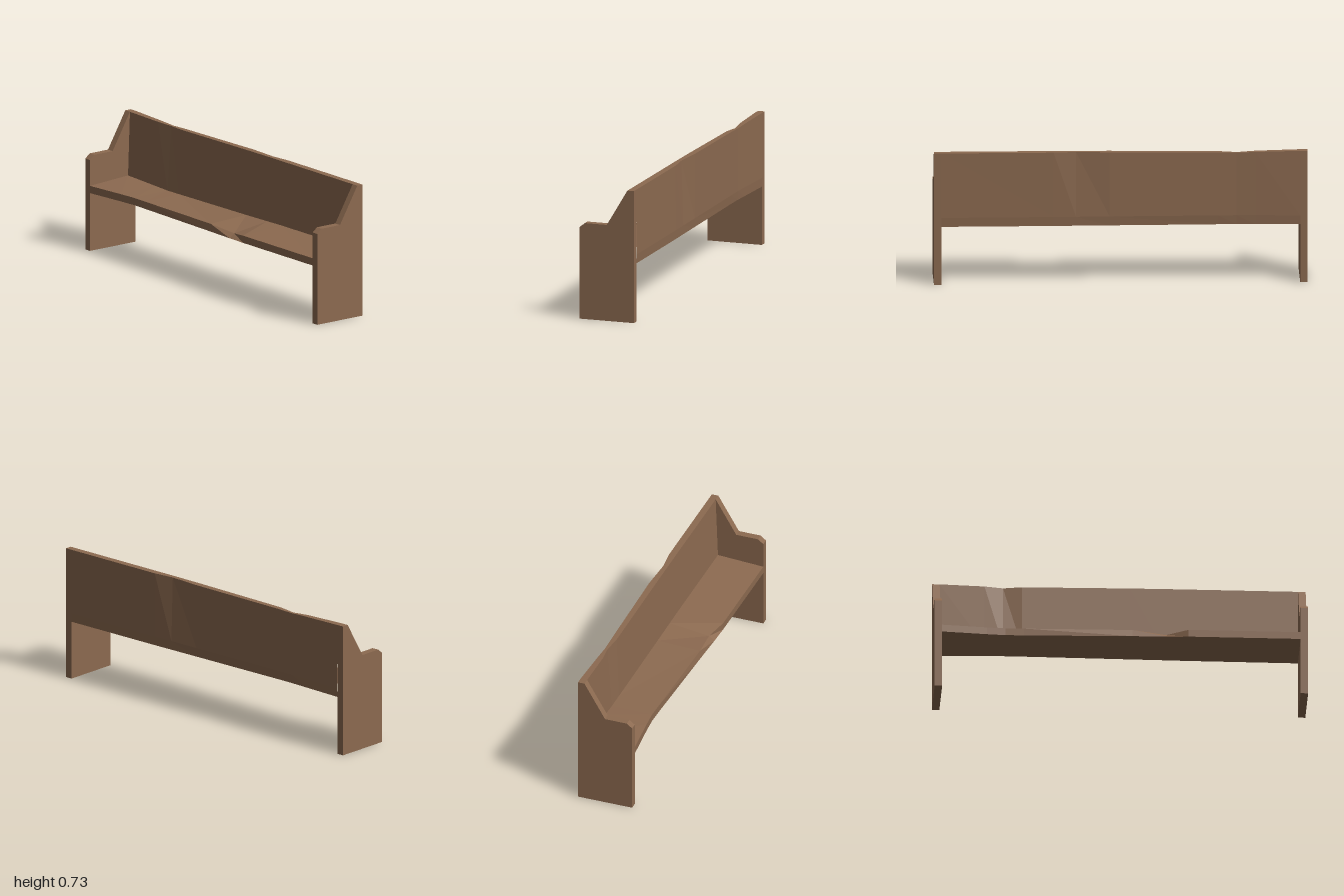
import * as THREE from 'three';

const wood = new THREE.MeshStandardMaterial({ color: 0x8c6a50 });
wood.name = 'brownWood';
wood.flatShading = true;

// Worn plank stations along x:
// [x, front bottom z, front top z, front top y, junction y, top y, top front z, top back z, bottom back z]
const stations = [
  [-0.96, 0.155, 0.155, 0.36, 0.375, 0.725, -0.118, -0.155, -0.155],
  [-0.72, 0.132, 0.132, 0.36, 0.366, 0.719, -0.120, -0.149, -0.146],
  [-0.62, 0.125, 0.125, 0.36, 0.362, 0.715, -0.131, -0.146, -0.142],
  [-0.52, 0.127, 0.127, 0.36, 0.363, 0.718, -0.118, -0.147, -0.142],
  [0.06, 0.145, 0.138, 0.36, 0.369, 0.724, -0.118, -0.153, -0.149],
  [0.24, 0.152, 0.120, 0.342, 0.372, 0.725, -0.118, -0.143, -0.151],
  [0.36, 0.155, 0.155, 0.36, 0.374, 0.725, -0.118, -0.155, -0.153],
  [0.96, 0.155, 0.155, 0.36, 0.375, 0.725, -0.118, -0.155, -0.155],
];

// Joins L-shaped cross-sections (seat plus backrest) from end to end
function loftBench() {
  const sections = stations.map(([x, fb, ft, fy, jy, ty, tf, tb, bb]) => [
    [fb, 0.32], [ft, fy], [-0.105, jy], [tf, ty], [tb, ty], [Math.min(tb, bb - 0.003), 0.37], [bb, 0.32],
  ].map(([z, y]) => [x, y, z]));
  const n = sections[0].length;
  const positions = [];
  for (let i = 0; i < sections.length - 1; i++) {
    for (let j = 0; j < n; j++) {
      const k = (j + 1) % n;
      const a = sections[i][j], b = sections[i][k];
      const c = sections[i + 1][j], d = sections[i + 1][k];
      positions.push(...a, ...c, ...b, ...b, ...c, ...d);
    }
  }
  const geometry = new THREE.BufferGeometry();
  geometry.setAttribute('position', new THREE.Float32BufferAttribute(positions, 3));
  geometry.computeVertexNormals();
  return geometry;
}

// Solid end panel with armrest step, drawn as (-z, y) and extruded along x
function endPanelGeometry() {
  const outline = [
    [-0.155, 0], [0.155, 0], [0.155, 0.725], [0.118, 0.725],
    [0, 0.527], [-0.125, 0.527], [-0.155, 0.503],
  ].map(([u, y]) => new THREE.Vector2(u, y));
  const geometry = new THREE.ExtrudeGeometry(new THREE.Shape(outline), { depth: 0.04, bevelEnabled: false });
  geometry.rotateY(Math.PI / 2);
  return geometry;
}

export function createModel() {
  const bench = new THREE.Group();
  bench.name = 'bench';

  const seat = new THREE.Mesh(loftBench(), wood);
  seat.name = 'seatAndBackrest';
  bench.add(seat);

  const panel = endPanelGeometry();
  for (const [name, x] of [['rightEndPanel', -1], ['leftEndPanel', 0.96]]) {
    const mesh = new THREE.Mesh(panel, wood);
    mesh.name = name;
    mesh.position.x = x;
    bench.add(mesh);
  }
  return bench;
}
